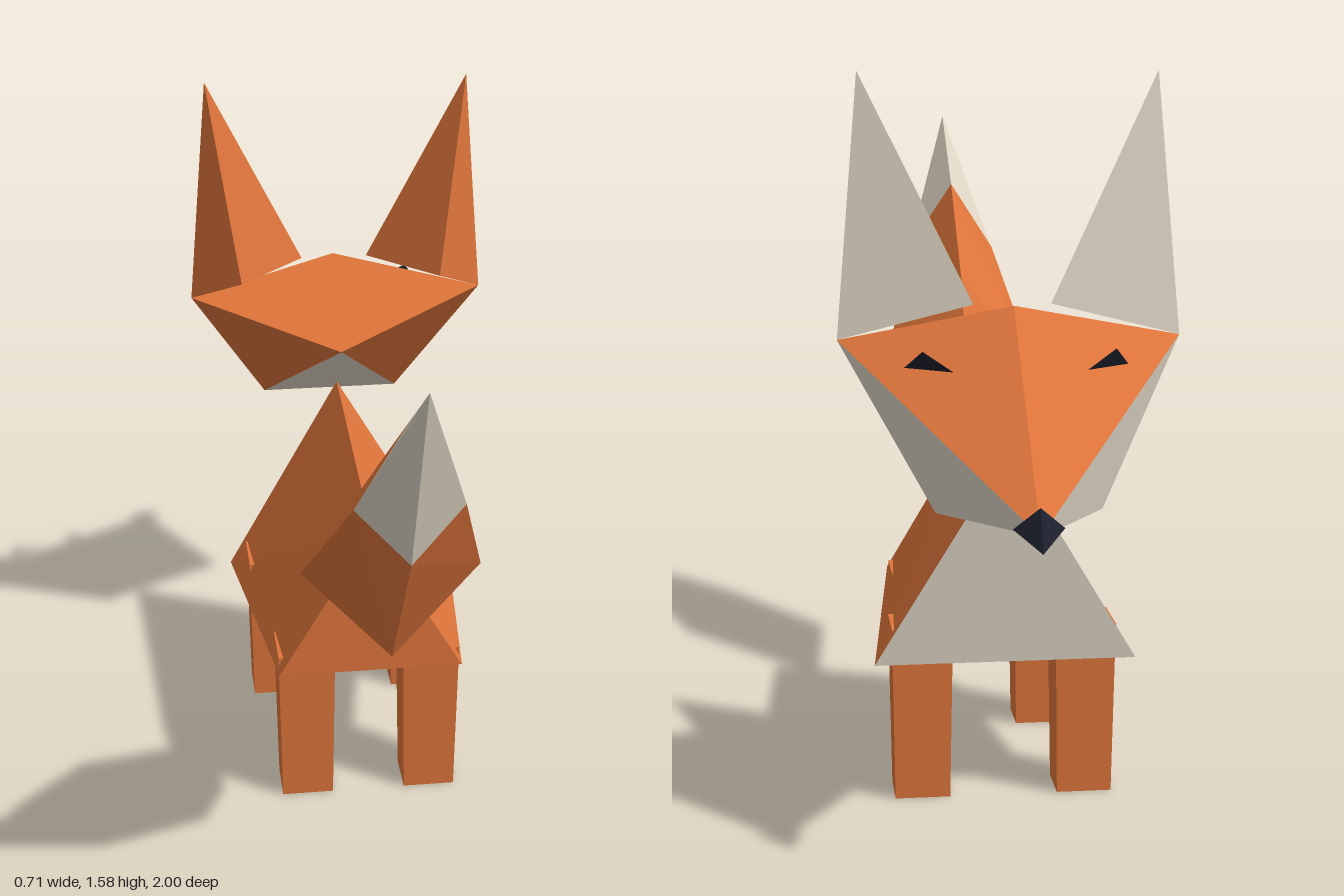
import * as THREE from 'three';

const flat = (color) => new THREE.MeshStandardMaterial({ color, flatShading: true });

export function createModel() {
  const model = new THREE.Group();
  const orange = flat(0xdf753b); orange.name = 'orange fur';
  const cream = flat(0xe2d9c8); cream.name = 'cream fur';
  const dark = flat(0x1e212e); dark.name = 'dark';
  dark.side = THREE.DoubleSide;
  const materials = [orange, cream, dark];
  const O = 0, C = 1, D = 2;

  // Faceted solid: named corners, faces as [colour, ...corners], wound away from the middle
  function solid(name, corners, faces) {
    const pts = {};
    const middle = new THREE.Vector3();
    const keys = Object.keys(corners);
    for (const k of keys) {
      pts[k] = new THREE.Vector3(...corners[k]);
      middle.addScaledVector(pts[k], 1 / keys.length);
    }
    const positions = [];
    const geometry = new THREE.BufferGeometry();
    for (const [colour, ...loop] of faces) {
      for (let i = 1; i < loop.length - 1; i++) {
        let [a, b, c] = [pts[loop[0]], pts[loop[i]], pts[loop[i + 1]]];
        const normal = b.clone().sub(a).cross(c.clone().sub(a));
        if (normal.dot(a.clone().sub(middle)) < 0) [b, c] = [c, b];
        geometry.addGroup(positions.length / 3, 3, colour);
        positions.push(...a, ...b, ...c);
      }
    }
    geometry.setAttribute('position', new THREE.Float32BufferAttribute(positions, 3));
    geometry.computeVertexNormals();
    const mesh = new THREE.Mesh(geometry, materials);
    mesh.name = name;
    model.add(mesh);
    return mesh;
  }

  // Wedge body with cream chest and belly
  solid('body', {
    backTop: [0, 0.72, 0.21], backL: [0.213, 0.36, 0.21], backR: [-0.213, 0.36, 0.21],
    frontTop: [0, 0.79, -0.48], frontL: [0.283, 0.315, -0.435], frontR: [-0.283, 0.315, -0.435],
  }, [
    [O, 'backTop', 'backL', 'backR'],
    [C, 'frontTop', 'frontL', 'frontR'],
    [C, 'backL', 'backR', 'frontR', 'frontL'],
    [O, 'backTop', 'backL', 'frontL', 'frontTop'],
    [O, 'backTop', 'backR', 'frontR', 'frontTop'],
  ]);

  // Head
  solid('head', {
    crown: [0, 1.105, -0.555], nape: [0, 0.915, -0.37], muzzle: [0, 0.725, -0.965],
    cheekL: [0.357, 1.03, -0.485], cheekR: [-0.357, 1.03, -0.485],
    jawL: [0.17, 0.7, -0.65], jawR: [-0.17, 0.7, -0.65],
  }, [
    [O, 'crown', 'cheekL', 'muzzle'], [O, 'crown', 'cheekR', 'muzzle'],
    [O, 'crown', 'cheekL', 'nape'], [O, 'crown', 'cheekR', 'nape'],
    [O, 'nape', 'cheekL', 'jawL'], [O, 'nape', 'cheekR', 'jawR'],
    [C, 'cheekL', 'jawL', 'muzzle'], [C, 'cheekR', 'jawR', 'muzzle'],
    [C, 'jawL', 'jawR', 'muzzle'], [C, 'jawL', 'jawR', 'nape'],
  ]);

  // Nose
  solid('nose', {
    tip: [0, 0.7, -1], top: [0, 0.78, -0.96],
    l: [0.05, 0.735, -0.94], r: [-0.05, 0.735, -0.94],
  }, [[D, 'tip', 'top', 'l'], [D, 'tip', 'top', 'r'], [D, 'tip', 'l', 'r'], [D, 'top', 'l', 'r']]);

  // Tail with cream tip
  solid('tail', {
    root: [0, 0.56, 0.205],
    topA: [0, 1.03, 0.5], lowA: [0, 0.6, 0.55], lA: [0.19, 0.8, 0.525], rA: [-0.19, 0.8, 0.525],
    topB: [0, 1.245, 0.76], lowB: [0, 0.96, 0.81], lB: [0.11, 1.075, 0.785], rB: [-0.11, 1.075, 0.785],
    tip: [0, 1.41, 1],
  }, [['top', 'l'], ['l', 'low'], ['low', 'r'], ['r', 'top']].flatMap(([p, q]) => [
    [O, 'root', p + 'A', q + 'A'],
    [O, p + 'A', q + 'A', q + 'B', p + 'B'],
    [C, p + 'B', q + 'B', 'tip'],
  ]));

  for (const [s, side] of [[1, 'left'], [-1, 'right']]) {
    // Ears, cream on the front face
    solid(side + 'Ear', {
      tip: [s * 0.31, 1.575, -0.46], outer: [s * 0.357, 1.03, -0.485],
      back: [s * 0.24, 1.105, -0.365], inner: [s * 0.08, 1.105, -0.53],
    }, [
      [C, 'tip', 'outer', 'inner'], [O, 'tip', 'outer', 'back'],
      [O, 'tip', 'back', 'inner'], [O, 'outer', 'back', 'inner'],
    ]);

    // Eyes: single thin triangles
    solid(side + 'Eye', {
      a: [s * 0.135, 0.99, -0.67], b: [s * 0.228, 0.99, -0.605], c: [s * 0.195, 1.03, -0.655],
    }, [[D, 'a', 'b', 'c']]);

    // Tapered legs with dark soles: name, centre x, centre z
    for (const [name, x, z] of [['FrontLeg', 0.178, -0.348], ['BackLeg', 0.146, 0.112]]) {
      const corners = {};
      for (const [level, y, w, d] of [['t', 0.385, 0.066, 0.063], ['b', 0, 0.06, 0.053]]) {
        [[-1, -1], [1, -1], [1, 1], [-1, 1]].forEach(([i, k], n) => {
          corners[level + n] = [s * (x + i * w), y, z + k * d];
        });
      }
      solid(side + name, corners, [
        [O, 't0', 't1', 't2', 't3'], [D, 'b0', 'b1', 'b2', 'b3'],
        ...[0, 1, 2, 3].map((n) => [O, 't' + n, 't' + (n + 1) % 4, 'b' + (n + 1) % 4, 'b' + n]),
      ]);
    }
  }
  return model;
}
